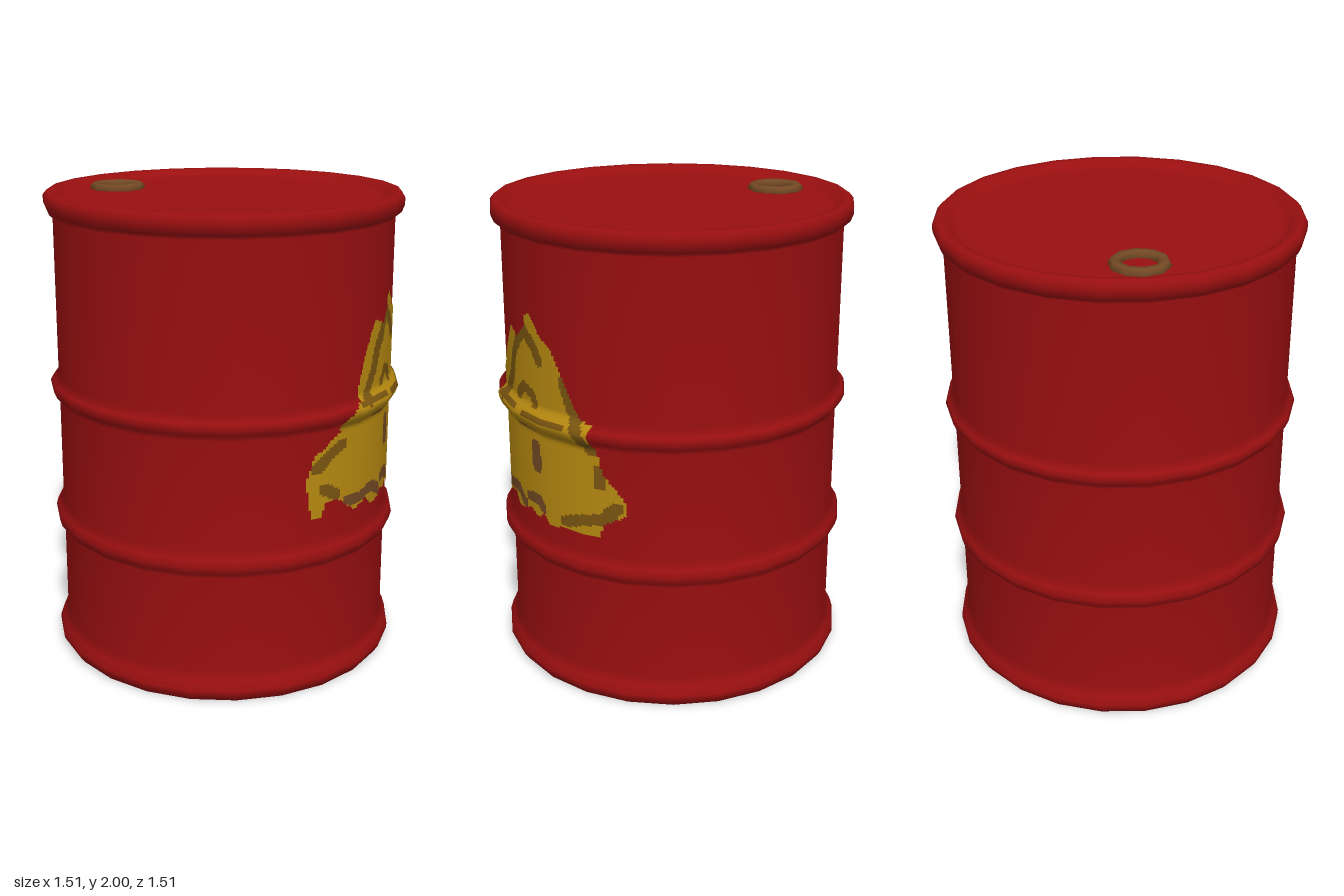
import * as THREE from 'three';

const SIDES = 24;
const STEP = (Math.PI * 2) / SIDES;

const mat = (name, color, side = THREE.FrontSide) => {
  const m = new THREE.MeshStandardMaterial({ color, side });
  m.name = name;
  return m;
};

// Outer wall profile, [radius, height], including the two rolling hoops
const WALL = [
  [0.735, 0], [0.755, 0.03], [0.755, 0.05], [0.742, 0.09], [0.72, 0.12],
  [0.718, 0.54], [0.745, 0.57], [0.753, 0.6], [0.745, 0.63], [0.72, 0.66],
  [0.718, 1.12], [0.743, 1.15], [0.755, 1.18], [0.745, 1.2], [0.72, 1.23],
  [0.718, 1.9], [0.743, 1.92], [0.755, 1.95], [0.755, 1.98], [0.738, 2],
];

function wallRadius(y) {
  for (let i = 1; i < WALL.length; i++) {
    const [r0, y0] = WALL[i - 1], [r1, y1] = WALL[i];
    if (y <= y1) return r0 + ((r1 - r0) * (y - y0)) / (y1 - y0);
  }
  return 0.738;
}

// x of the faceted wall at a given z
function wallX(z, r) {
  const k = Math.floor(Math.asin(z / r) / STEP);
  const z0 = r * Math.sin(k * STEP), z1 = r * Math.sin((k + 1) * STEP);
  const x0 = r * Math.cos(k * STEP), x1 = r * Math.cos((k + 1) * STEP);
  return x0 + ((x1 - x0) * (z - z0)) / (z1 - z0);
}

// Worn paint outline, [u, y] with u = -z
const OUTLINE = [
  [0.10, 1.61], [0.155, 1.545], [0.22, 1.5], [0.27, 1.4], [0.315, 1.31], [0.36, 1.23],
  [0.415, 1.215], [0.41, 1.115], [0.43, 1.015], [0.475, 0.96], [0.515, 0.9], [0.505, 0.845],
  [0.43, 0.8], [0.42, 0.74], [0.285, 0.74], [0.19, 0.73], [0.16, 0.77], [0.115, 0.735],
  [0.055, 0.76], [-0.055, 0.725], [-0.1, 0.77], [-0.205, 0.75], [-0.3, 0.825], [-0.36, 0.815],
  [-0.37, 0.76], [-0.41, 0.755], [-0.43, 0.92], [-0.4, 1.025], [-0.33, 1.08], [-0.285, 1.105],
  [-0.3, 1.15], [-0.205, 1.215], [-0.19, 1.31], [-0.14, 1.42], [-0.075, 1.525], [0, 1.5],
  [0.055, 1.545], [0.06, 1.6],
];

// Stains: half width, then the points of the stroke
const STAINS = [
  [0.026, [0.04, 1.52], [0, 1.48], [-0.05, 1.4], [-0.08, 1.31], [-0.15, 1.21]],
  [0.026, [0.06, 1.53], [0.13, 1.47], [0.155, 1.43]],
  [0.022, [0, 1.25], [0.04, 1.295], [0.1, 1.275], [0.12, 1.24]],
  [0.022, [0.28, 1.37], [0.31, 1.27], [0.37, 1.18], [0.395, 1.11]],
  [0.022, [0.42, 1.03], [0.42, 0.97]],
  [0.025, [0.27, 0.77], [0.35, 0.8], [0.43, 0.82], [0.48, 0.88]],
  [0.025, [-0.36, 0.88], [-0.3, 0.84]],
  [0.024, [-0.39, 0.97], [-0.34, 1.02], [-0.27, 1.05]],
  [0.009, [-0.2, 1.2], [0, 1.2]],
  [0.009, [0.07, 1.19], [0.3, 1.19]],
];
const RUST = [
  [0.033, [0.11, 1.05], [0.115, 0.97]],
  [0.024, [-0.24, 0.8], [-0.16, 0.79], [-0.06, 0.81], [0.01, 0.77]],
  [0.024, [0.05, 0.81], [0.12, 0.82], [0.15, 0.79]],
  [0.009, [-0.08, 1.13], [0.11, 1.125]],
];

function inside(u, y) {
  let hit = false;
  OUTLINE.forEach(([u0, y0], i) => {
    const [u1, y1] = OUTLINE[(i + 1) % OUTLINE.length];
    if (y0 > y !== y1 > y && u < u0 + ((u1 - u0) * (y - y0)) / (y1 - y0)) hit = !hit;
  });
  return hit;
}

function onStroke(strokes, u, y) {
  return strokes.some(([w, ...pts]) => pts.slice(1).some(([bu, by], i) => {
    const [au, ay] = pts[i];
    const du = bu - au, dy = by - ay;
    const t = THREE.MathUtils.clamp(((u - au) * du + (y - ay) * dy) / (du * du + dy * dy), 0, 1);
    return Math.hypot(u - au - du * t, y - ay - dy * t) < w;
  }));
}

// Small wall-hugging cells, kept where the test accepts the cell centre
function paintPatch(test) {
  const C = 0.01, pos = [], nor = [];
  const corner = (i, j) => {
    const z = -i * C, y = j * C, r = wallRadius(y);
    const slope = (wallRadius(y + 0.015) - wallRadius(y - 0.015)) / 0.03;
    const n = new THREE.Vector3(Math.sqrt(r * r - z * z) / r, -slope, z / r).normalize();
    pos.push(wallX(z, r) + n.x * 0.005, y + n.y * 0.005, z + n.z * 0.005);
    nor.push(n.x, n.y, n.z);
  };
  for (let j = 72; j < 162; j++) {
    for (let i = -44; i < 53; i++) {
      if (!test((i + 0.5) * C, (j + 0.5) * C)) continue;
      [[0, 0], [1, 0], [1, 1], [0, 0], [1, 1], [0, 1]].forEach(([a, b]) => corner(i + a, j + b));
    }
  }
  const g = new THREE.BufferGeometry();
  g.setAttribute('position', new THREE.Float32BufferAttribute(pos, 3));
  g.setAttribute('normal', new THREE.Float32BufferAttribute(nor, 3));
  return g;
}

export function createModel() {
  const group = new THREE.Group();
  const red = mat('red paint', 0x9a0f10);
  const yellow = mat('yellow paint', 0xb88a10, THREE.DoubleSide);
  const stain = mat('dark yellow stain', 0x7a5510, THREE.DoubleSide);
  const rust = mat('rusty brown', 0x744a24, THREE.DoubleSide);
  const add = (name, geometry, material) => {
    const mesh = new THREE.Mesh(geometry, material);
    mesh.name = name;
    group.add(mesh);
    return mesh;
  };

  // Drum shell with hoops, rolled rims and slightly sunken ends
  const profile = [
    [0, 0.02], [0.66, 0.02], [0.69, 0.018], [0.71, 0.004],
    ...WALL,
    [0.71, 1.998], [0.69, 1.98], [0.67, 1.97], [0.64, 1.968], [0, 1.968],
  ].map(([r, y]) => new THREE.Vector2(r, y));
  add('drumBody', new THREE.LatheGeometry(profile, SIDES), red);

  // Bung ring on the lid
  const ring = add('bungRing', new THREE.TorusGeometry(0.095, 0.026, 6, 10), rust);
  ring.rotation.x = -Math.PI / 2;
  ring.scale.z = 0.9;
  ring.position.set(-0.52, 1.974, -0.005);

  // Worn warning patch on the left side, split by colour
  const isRust = (u, y) => onStroke(RUST, u, y);
  const isStain = (u, y) => !isRust(u, y) && onStroke(STAINS, u, y);
  add('yellowPatch', paintPatch((u, y) => inside(u, y) && !isRust(u, y) && !isStain(u, y)), yellow);
  add('patchStains', paintPatch((u, y) => inside(u, y) && isStain(u, y)), stain);
  add('patchRust', paintPatch((u, y) => inside(u, y) && isRust(u, y)), rust);

  return group;
}
